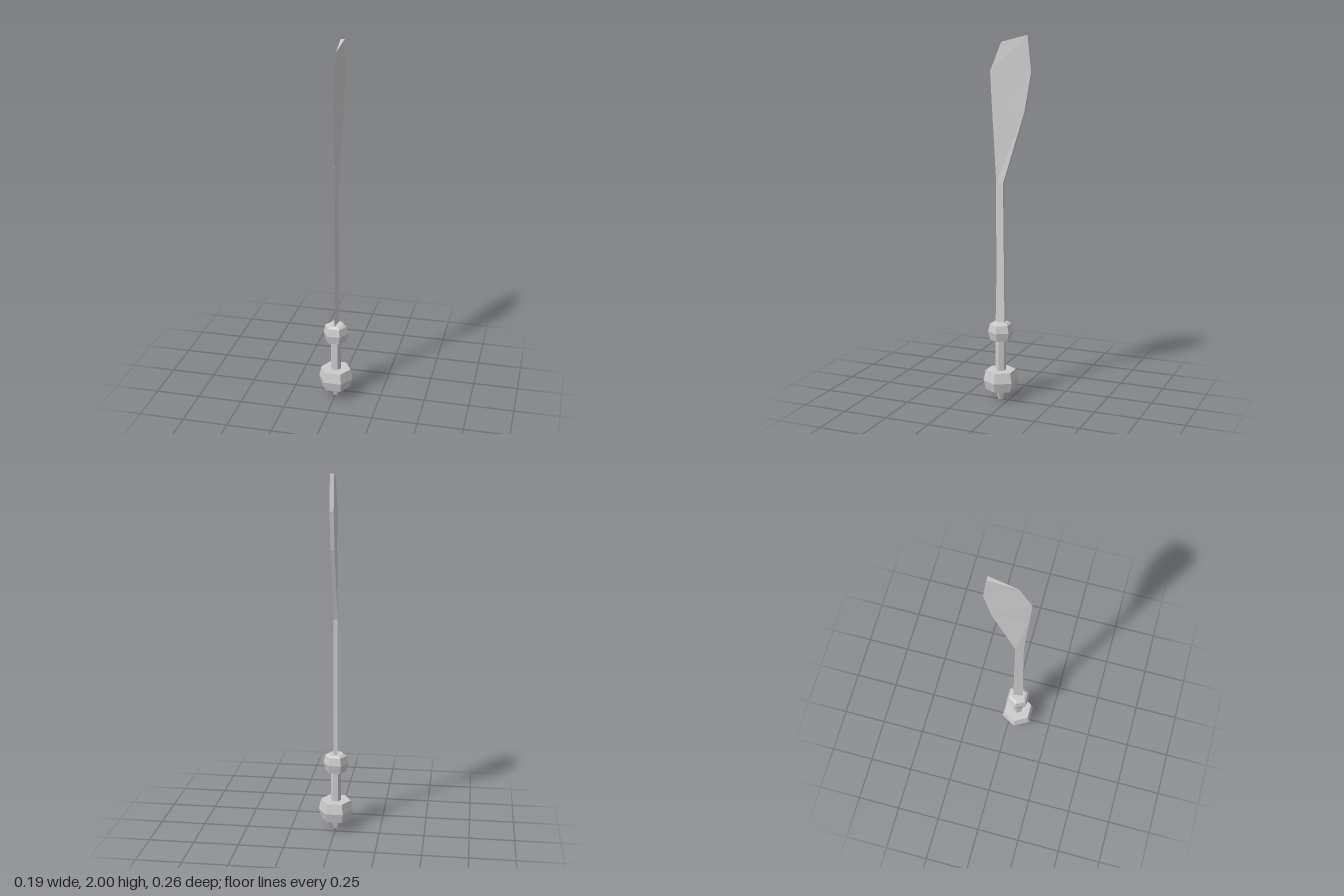
import * as THREE from 'three';

const AXIS_Z = 0.047; // the handle axis sits slightly forward of centre
const material = new THREE.MeshStandardMaterial({ color: 0xcccccc, flatShading: true });

// Six-sided turned part from [radius, y] points, corners pointing to the sides
function hexPart(name, profile) {
  const points = profile.map(([r, y]) => new THREE.Vector2(r, y));
  const geometry = new THREE.LatheGeometry(points, 6);
  geometry.rotateY(Math.PI / 6);
  const mesh = new THREE.Mesh(geometry, material);
  mesh.name = name;
  mesh.position.z = AXIS_Z;
  return mesh;
}

// Wedge-section blade: thick spine at the back, sharp edge at the front
function bladePart() {
  const half = 0.011;
  // each row: spine z, spine y, edge z, edge y
  const rows = [
    [0.02, 0.42, 0.078, 0.42],
    [0.022, 0.65, 0.073, 0.65],
    [0.028, 1.215, 0.072, 1.215],
    [-0.095, 1.607, 0.095, 1.61],
    [-0.13, 1.81, 0.106, 1.81],
    [-0.11, 2.0, 0.042, 1.963],
  ];
  const positions = [];
  const index = [];
  for (const [sz, sy, ez, ey] of rows) {
    positions.push(half, sy, sz, 0, ey, ez, -half, sy, sz);
  }
  for (let i = 0; i < rows.length - 1; i++) {
    for (let j = 0; j < 3; j++) {
      const a = i * 3 + j;
      const b = i * 3 + ((j + 1) % 3);
      index.push(a, a + 3, b, b, a + 3, b + 3);
    }
  }
  const top = (rows.length - 1) * 3;
  index.push(0, 1, 2, top, top + 2, top + 1);

  const geometry = new THREE.BufferGeometry();
  geometry.setAttribute('position', new THREE.Float32BufferAttribute(positions, 3));
  geometry.setIndex(index);
  geometry.computeVertexNormals();
  const mesh = new THREE.Mesh(geometry, material);
  mesh.name = 'blade';
  return mesh;
}

export function createModel() {
  const model = new THREE.Group();
  model.name = 'sword';
  model.add(
    hexPart('pommelTip', [[0, 0], [0.014, 0], [0.032, 0.055]]),
    hexPart('pommel', [[0, 0.05], [0.035, 0.05], [0.083, 0.06], [0.097, 0.113], [0.084, 0.17], [0, 0.17]]),
    hexPart('grip', [[0.029, 0.16], [0.029, 0.355]]),
    hexPart('guard', [[0, 0.345], [0.059, 0.345], [0.07, 0.392], [0.06, 0.434], [0.044, 0.445], [0, 0.445]]),
    bladePart(),
  );
  return model;
}
